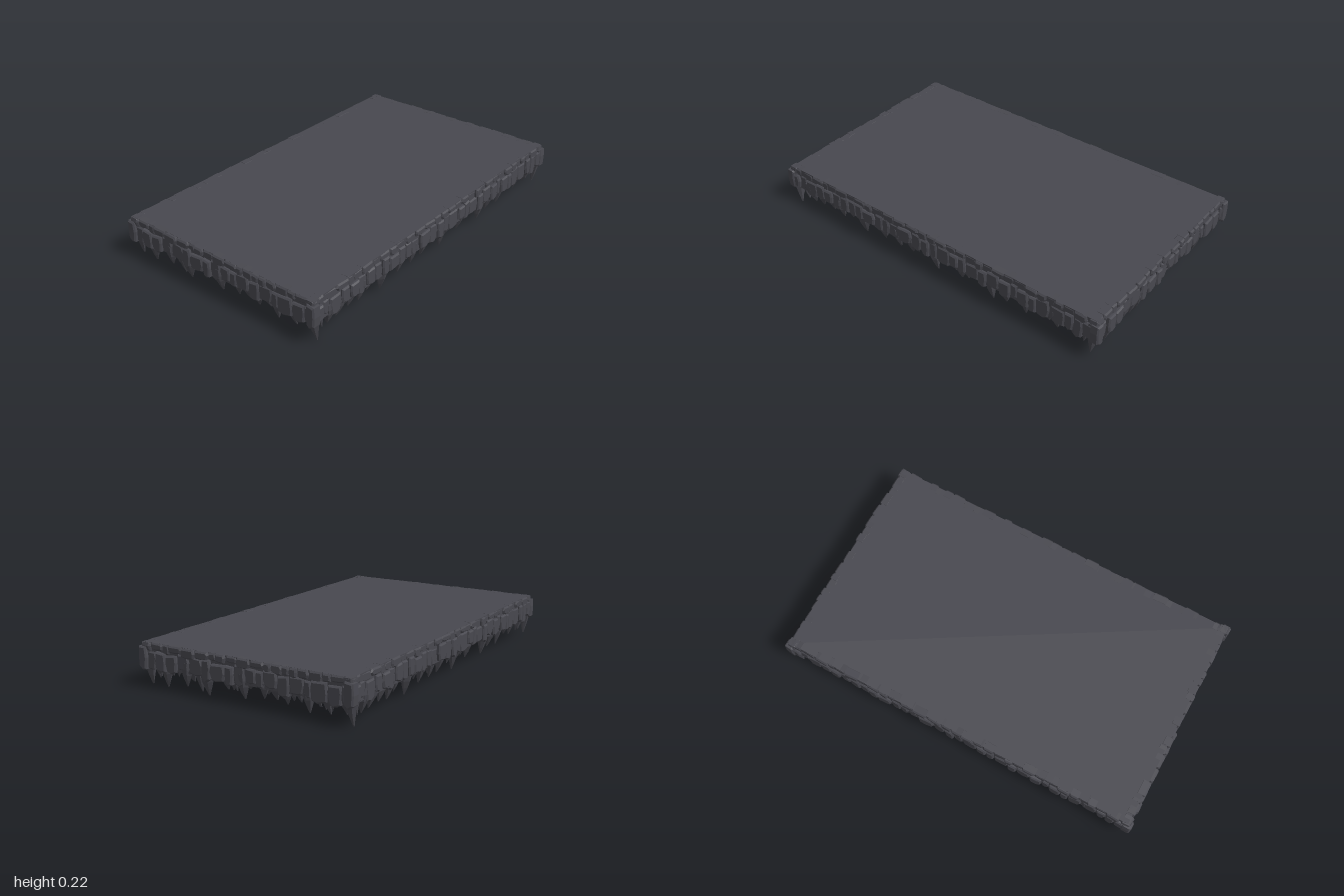
import * as THREE from 'three';
import { mergeGeometries } from 'three/addons/utils/BufferGeometryUtils.js';

// Small seeded random generator
let seed = 11;
const rand = (a = 0, b = 1) => {
  seed = (seed * 16807) % 2147483647;
  return a + (b - a) * (seed / 2147483647);
};

// Chipped, bevelled wall stone with its face at z = front
function stone(x0, x1, y0, y1, front) {
  const w = x1 - x0, h = y1 - y0, j = k => rand(0, k);
  const shape = new THREE.Shape([
    [x0 + j(w * 0.15), y0 + j(h * 0.12)],
    [x0 + w * rand(0.4, 0.6), y0 - j(h * 0.06)],
    [x1 - j(w * 0.15), y0 + j(h * 0.12)],
    [x1 + j(w * 0.04), y0 + h * rand(0.45, 0.65)],
    [x1 - j(w * 0.1), y1 - j(h * 0.08)],
    [x0 + j(w * 0.1), y1 - j(h * 0.08)],
    [x0 - j(w * 0.04), y0 + h * rand(0.4, 0.6)],
  ].map(p => new THREE.Vector2(...p)));
  const bevel = 0.007, depth = 0.035;
  const g = new THREE.ExtrudeGeometry(shape, {
    depth, bevelEnabled: true, bevelThickness: bevel, bevelSize: bevel,
    bevelOffset: -bevel, bevelSegments: 1,
  });
  // Lean each face slightly about its own centre
  const cx = (x0 + x1) / 2;
  g.translate(-cx, 0, -depth - bevel);
  g.rotateY(rand(-0.07, 0.07));
  return g.translate(cx, 0, front);
}

// Tapering hanging shard, bent a little toward the middle of the slab
function shard(x, z, top, tip, radius) {
  const h = top - tip, rings = [1, 1.02, 0.85, 0.5, 0.1];
  const g = new THREE.CylinderGeometry(1, 1, 1, 6, 4);
  const p = g.attributes.position, turn = rand(0, 1), lean = rand(-0.012, 0.012);
  const lumps = Array.from({ length: 6 }, () => rand(0.82, 1.1));
  for (let i = 0; i < p.count; i++) {
    const t = 0.5 - p.getY(i);
    const r = radius * rings[Math.round(t * 4)];
    const raw = Math.atan2(p.getZ(i), p.getX(i));
    const a = raw + turn;
    const hub = Math.hypot(p.getX(i), p.getZ(i)) < 0.01 ? 0 : 1;
    const k = hub * r * lumps[(Math.round(raw / (Math.PI / 3)) + 6) % 6];
    p.setXYZ(i, x + Math.cos(a) * k + lean * t * t, top - h * t,
      z + Math.sin(a) * k * 0.8 - 0.014 * t * t);
  }
  return g.toNonIndexed();
}

// Fill a run with uneven widths
function run(half, min, max, place) {
  for (let x = -half; x < half - 0.01;) {
    let end = x + rand(min, max);
    if (half - end < min * 0.7) end = half;
    place(x, end);
    x = end;
  }
}

export function createModel() {
  seed = 11;
  const model = new THREE.Group();
  const rock = new THREE.MeshStandardMaterial({ color: 0x48484f, flatShading: true });
  rock.name = 'dark slate';
  const add = (parent, name, geometry) => {
    const m = new THREE.Mesh(geometry, rock);
    m.name = name;
    parent.add(m);
    return m;
  };

  // Flat slab
  add(model, 'slab', new THREE.BoxGeometry(1.95, 0.122, 1.16)).position.y = 0.161;

  // One rocky edge; local x runs along it and local z points outward
  function buildEdge(half, reach, longTips) {
    const caps = [], blocks = [], shards = [];
    run(half - 0.012, 0.035, 0.085, (a, b) =>
      caps.push(stone(a, b, rand(0.172, 0.192), 0.2235, reach - rand(0.004, 0.016))));
    run(half - 0.016, 0.04, 0.085, (a, b) =>
      blocks.push(stone(a + 0.001, b - 0.001, rand(0.08, 0.115), rand(0.178, 0.198),
        reach - rand(0, 0.014))));
    // Short shards, in an outer and an inner row
    run(half - 0.03, 0.036, 0.06, (a, b) =>
      shards.push(shard((a + b) / 2, reach - rand(0.032, 0.042), rand(0.13, 0.165),
        rand(0.045, 0.085), (b - a) * 0.55)));
    run(half - 0.05, 0.05, 0.08, (a, b) =>
      shards.push(shard((a + b) / 2, reach - rand(0.05, 0.065), 0.14,
        rand(0.045, 0.08), (b - a) * 0.42)));
    // Long shards
    for (const [x, tip] of longTips)
      shards.push(shard(x, reach - 0.034, 0.15, tip, rand(0.029, 0.036)));
    return { caps, blocks, shards };
  }

  const front = buildEdge(1, 0.597, [
    [-0.86, 0.03], [-0.78, 0.035], [-0.7, 0.04], [-0.63, 0.03], [-0.47, 0.008],
    [-0.33, 0.03], [-0.23, 0.03], [-0.13, 0.035], [0.015, 0.008], [0.19, 0.035],
    [0.37, 0.008], [0.46, 0.03], [0.58, 0.02], [0.75, 0.035], [0.86, 0.035],
  ]);
  const side = buildEdge(0.6, 0.997, [
    [-0.45, 0.008], [-0.33, 0.03], [-0.25, 0.02], [-0.205, 0.008],
    [0, 0.025], [0.12, 0.045], [0.24, 0.04], [0.35, 0.022], [0.45, 0.035],
  ]);

  // Corner clusters at both ends of the side edge
  for (const s of [-1, 1]) {
    side.shards.push(shard(s * 0.56, 0.958, 0.2, 0.004 - s * 0.004, 0.038));
    side.shards.push(shard(s * 0.525, 0.945, 0.16, 0.04, 0.03));
    side.shards.push(shard(s * 0.552, 0.91, 0.16, 0.035, 0.03));
    side.blocks.push(stone(s * 0.575 - 0.025, s * 0.575 + 0.025, 0.09, 0.21, 1));
  }

  // The two opposite edges repeat by a half turn
  for (let i = 0; i < 4; i++) {
    const edge = new THREE.Group();
    edge.name = ['frontEdge', 'leftEdge', 'backEdge', 'rightEdge'][i];
    edge.rotation.y = i * Math.PI / 2;
    const parts = i % 2 ? side : front;
    add(edge, 'capStones', mergeGeometries(parts.caps));
    add(edge, 'wallStones', mergeGeometries(parts.blocks));
    add(edge, 'hangingShards', mergeGeometries(parts.shards));
    model.add(edge);
  }
  return model;
}
